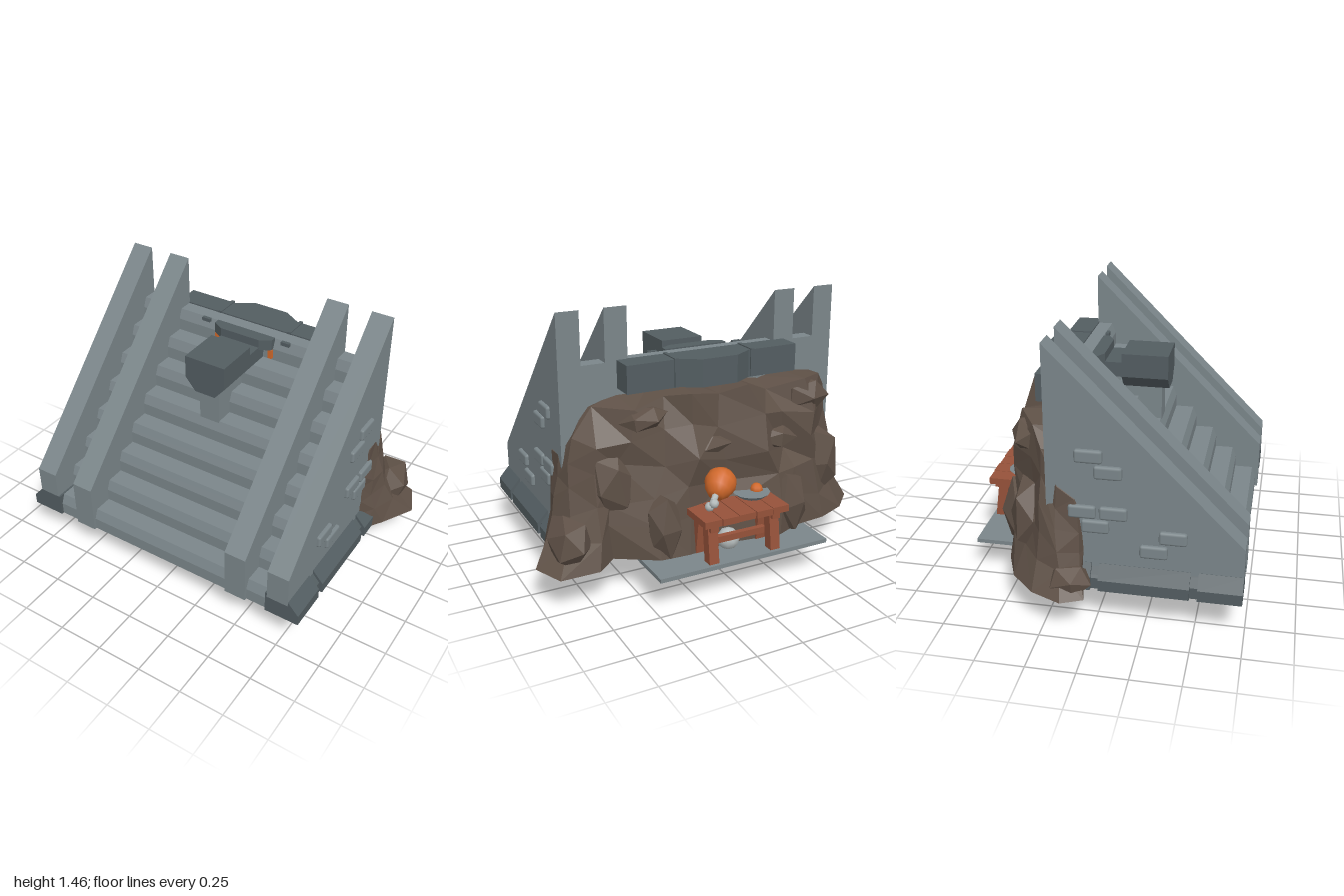
import * as THREE from 'three';
import { RoundedBoxGeometry } from 'three/addons/geometries/RoundedBoxGeometry.js';

const mat = (name, color, side = THREE.FrontSide) => {
  const m = new THREE.MeshStandardMaterial({ color, side });
  m.name = name;
  return m;
};

export function createModel() {
  const root = new THREE.Group();
  const stone = mat('stone', 0x7b868a), dark = mat('darkStone', 0x535d61);
  const rock = mat('rock', 0x5f5147, THREE.DoubleSide), wood = mat('wood', 0x96523a);
  const orange = mat('orange', 0xd0682a), bone = mat('bone', 0xb4bbbb), iron = mat('iron', 0x262626);

  const add = (name, geo, m, x = 0, y = 0, z = 0, parent = root) => {
    const mesh = new THREE.Mesh(geo, m);
    mesh.name = name;
    mesh.position.set(x, y, z);
    parent.add(mesh);
    return mesh;
  };
  const box = (name, m, w, h, d, x, y, z, parent) => add(name, new THREE.BoxGeometry(w, h, d), m, x, y, z, parent);
  const shape = pts => new THREE.Shape(pts.map(p => new THREE.Vector2(p[0], p[1])));
  const extrude = (pts, depth) => new THREE.ExtrudeGeometry(shape(pts), { depth, bevelEnabled: false });
  // (z, y) outline swept from x0 to x1
  const sweepX = (pts, x0, x1) => extrude(pts, x1 - x0).rotateY(-Math.PI / 2).translate(x1, 0, 0);
  // (x, z) outline swept from y0 to y1
  const sweepY = (pts, y0, y1) => extrude(pts, y1 - y0).rotateX(Math.PI / 2).translate(0, y1, 0);
  let seed = 7;
  const rnd = () => (seed = (seed * 16807) % 2147483647) / 2147483647;
  const jit = a => (rnd() - 0.5) * 2 * a;

  // Staircase shell: treads with bevelled nosings, stepped underside
  const steps = [], under = [];
  for (let i = 0; i < 8; i++) {
    const z = 0.72 - i * 0.123, y = 0.2 + i * 0.1225;
    steps.push([z, y], [z, y + 0.068], [z - 0.022, y + 0.1225]);
    under.unshift([z - 0.045, Math.max(0.2, y - 0.04)], [z - 0.045, y + 0.082]);
  }
  // the underside runs from the top step back down to the floor
  const inner = [];
  for (let i = under.length - 1; i > 0; i -= 2) inner.unshift(under[i], under[i - 1]);
  add('stairs', sweepX([...steps, [-0.245, 1.18], [-0.245, 1.139], ...inner], -0.7, 0.7), stone);
  box('stairBack', stone, 1.4, 0.95, 0.03, 0, 0.675, -0.23);

  // Sloping walls, side bricks and dark skirts, the same on both sides
  const skirt = (inset, s, z0, z1) =>
    extrude([[0.67, 0.2], [0.86 - inset, 0.2], [0.86 - inset, 0.26], [0.802 - inset / 2, 0.325 - inset / 2],
      [0.67, 0.325 - inset / 2]].map(([x, y]) => [s * x, y]), z1 - z0).translate(0, 0, z0);
  const bricks = [[-0.03, 0.91], [0.065, 0.83], [0.09, 0.612], [-0.065, 0.612], [0, 0.535], [0.385, 0.505], [0.29, 0.42]];
  for (const s of [1, -1]) {
    const side = new THREE.Group();
    side.name = s > 0 ? 'leftSide' : 'rightSide';
    root.add(side);
    for (const [x, w, yb] of [[0.74, 0.12, 0.3], [0.491, 0.122, 0.2]]) {
      const profile = [[0.735, yb], [0.735, 0.475], [-0.245, 1.457], [-0.245, yb]];
      add('slopingWall', sweepX(profile, -w / 2, w / 2), stone, s * x, 0, 0, side);
    }
    for (const [z, y] of bricks)
      add('wallBrick', new RoundedBoxGeometry(0.05, 0.07, 0.14, 1, 0.014), stone, s * 0.795, y, z, side);
    add('skirtCore', skirt(0.02, s, -0.22, 0.73), dark, 0, 0, 0, side);
    for (const [z0, z1] of [[-0.24, -0.02], [0.02, 0.475], [0.515, 0.735]])
      add('skirtBlock', skirt(0, s, z0, z1), dark, 0, 0, 0, side);
  }

  // Top beam, bracket with a lower neck, projecting head block and its stem
  add('topBeam', sweepY([[-0.49, -0.37], [-0.2, -0.37], [-0.1, -0.43], [0.1, -0.43], [0.2, -0.37], [0.49, -0.37],
    [0.49, -0.24], [-0.49, -0.24]], 1.04, 1.187), dark);
  for (const x of [-0.22, 0.22]) box('beamBand', dark, 0.02, 0.15, 0.14, x, 1.118, -0.308);
  for (const x of [-0.25, 0.25]) box('stepNotch', dark, 0.05, 0.02, 0.02, x, 1.174, -0.15);
  add('headBracket', sweepY([[-0.18, -0.16], [0.18, -0.16], [0.18, -0.125], [0.12, -0.09], [-0.12, -0.09],
    [-0.18, -0.125]], 1.125, 1.186), dark);
  box('headNeck', dark, 0.24, 0.08, 0.16, 0, 1.1, -0.07);
  add('headBlock', extrude([[-0.12, 1.188], [-0.12, 1.06], [-0.06, 0.99], [0.06, 0.99], [0.12, 1.06], [0.12, 1.188]], 0.25), dark);
  box('headStem', stone, 0.12, 0.24, 0.24, 0, 0.89, 0.09);
  for (const x of [-0.168, 0.168]) box('ember', orange, 0.024, 0.05, 0.02, x, 1.095, -0.134);

  // Craggy rock behind: each column is base x, base z, top x, top z, top y
  const columns = [
    [-0.82, -0.06, -0.79, -0.07, 0.66], [-0.95, -0.03, -0.8, -0.1, 0.68], [-1, -0.14, -0.8, -0.2, 0.73],
    [-0.93, -0.3, -0.75, -0.28, 0.9], [-0.8, -0.43, -0.66, -0.33, 0.98], [-0.63, -0.5, -0.48, -0.4, 1],
    [-0.44, -0.52, -0.34, -0.42, 0.98], [-0.3, -0.58, -0.15, -0.43, 1.01], [0, -0.54, 0, -0.44, 0.98],
    [0.24, -0.57, 0.15, -0.43, 1.03], [0.4, -0.56, 0.32, -0.4, 1], [0.61, -0.43, 0.5, -0.37, 1],
    [0.72, -0.53, 0.66, -0.32, 0.95], [0.93, -0.53, 0.76, -0.27, 0.84], [1, -0.36, 0.8, -0.2, 0.72],
    [0.9, -0.18, 0.8, -0.12, 0.71], [0.82, -0.06, 0.79, -0.07, 0.66]];
  const levels = 5;
  const grid = columns.map(([xb, zb, xt, zt, yt], i) => {
    const flank = Math.abs(xb) > 0.75, p = flank ? 0.42 : 1.6, col = [];
    for (let j = 0; j <= levels; j++) {
      const t = j / levels, s = t ** p, a = j ? (flank ? 0.012 : 0.035) : 0;
      const crag = flank || !j ? 0 : (i % 2 ? -0.015 : 0.02);
      col.push([xb + (xt - xb) * s + jit(a), 0.2 + (yt - 0.2) * t + jit(a), zb + (zt - zb) * s + crag + jit(a)]);
    }
    col.push([Math.max(-0.7, Math.min(0.7, xt)), yt + 0.01, Math.max(zt + 0.1, -0.22)]);
    return col;
  });
  const verts = [];
  for (let i = 0; i < grid.length - 1; i++)
    for (let j = 0; j <= levels; j++) {
      const a = grid[i][j], b = grid[i + 1][j], c = grid[i + 1][j + 1], d = grid[i][j + 1];
      if (rnd() > 0.5) verts.push(...a, ...d, ...c, ...a, ...c, ...b);
      else verts.push(...a, ...d, ...b, ...d, ...c, ...b);
    }
  const rockGeo = new THREE.BufferGeometry();
  rockGeo.setAttribute('position', new THREE.Float32BufferAttribute(verts, 3));
  rockGeo.computeVertexNormals();
  add('rockMass', rockGeo, rock);
  // Boulders and ledges: x, y, z, and three radii
  for (const [x, y, z, a, b, c] of [[-0.87, 0.26, -0.12, 0.1, 0.09, 0.12], [0.83, 0.33, -0.4, 0.11, 0.14, 0.15],
    [-0.55, 0.9, -0.38, 0.15, 0.1, 0.1], [0.42, 0.92, -0.4, 0.13, 0.06, 0.11], [-0.3, 0.72, -0.45, 0.16, 0.07, 0.09],
    [0.1, 0.74, -0.45, 0.17, 0.06, 0.08], [0.36, 0.36, -0.51, 0.1, 0.2, 0.1], [-0.38, 0.36, -0.51, 0.12, 0.2, 0.1],
    [0.58, 0.58, -0.38, 0.13, 0.2, 0.09], [-0.66, 0.5, -0.37, 0.14, 0.22, 0.1]]) {
    const m = add('boulder', new THREE.IcosahedronGeometry(1, 0).rotateY(rnd() * 3).scale(a, b, c), rock, x, y, z);
    m.rotation.z = jit(0.25);
  }

  // Floor slab with the grating underneath
  box('floorSlab', stone, 0.98, 0.022, 0.985, 0, 0.189, -0.2425);
  box('slabUnderside', dark, 0.9, 0.004, 0.9, 0, 0.177, -0.2425);
  for (const x of [-0.28, 0.28]) for (const z of [0.08, -0.55]) box('floorPatch', wood, 0.1, 0.004, 0.07, x, 0.174, z);
  for (let i = 0; i < 6; i++) {
    box('grateBar', iron, 0.89, 0.022, 0.026, 0, 0.166, -0.045 - i * 0.08);
    box('grateCrossBar', iron, 0.026, 0.018, 0.426, -0.36 + i * 0.144, 0.168, -0.245);
  }
  for (const x of [-0.175, 0.175]) box('grateBlock', wood, 0.05, 0.04, 0.05, x, 0.14, -0.215);

  // Hanging shield with pale leaf blades
  const shield = k => [[-0.13, 0.155], [-0.115, 0.08], [-0.06, 0.025], [0, 0], [0.06, 0.025], [0.115, 0.08], [0.13, 0.155]]
    .map(([x, y]) => [x * k, 0.155 - (0.155 - y) * k]);
  add('shieldRim', extrude(shield(1), 0.03), dark, 0, 0, -0.225);
  add('shieldFace', extrude(shield(0.8), 0.042), wood, 0, 0, -0.231);
  for (const z of [-0.234, -0.186]) for (const s of [1, -1]) {
    const rib = box('shieldRib', dark, 0.016, 0.135, 0.008, s * 0.035, 0.085, z);
    rib.rotation.z = -s * 0.45;
  }
  for (const s of [1, -1]) {
    const leaf = [[0.06, 0.13], [0.07, 0.07], [0.1, 0.035], [0.165, 0.025], [0.145, 0.065], [0.12, 0.1]];
    add('blade', extrude(leaf.map(([x, y]) => [s * x, y]), 0.014), bone, 0, 0, -0.25);
    const spike = add('spike', new THREE.ConeGeometry(0.022, 0.11, 4), bone, s * 0.055, 0.085, -0.245);
    spike.rotation.z = Math.PI + s * 0.4;
  }

  // Plank table
  const table = new THREE.Group();
  table.name = 'table';
  root.add(table);
  for (let i = 0; i < 5; i++)
    box('tablePlank', wood, 0.094, 0.036, 0.23 + (i % 2) * 0.008, -0.196 + i * 0.098, 0.43, -0.618, table);
  for (const s of [1, -1]) {
    for (const f of [1, -1]) {
      const leg = box('tableLeg', wood, 0.055, 0.22, 0.055, s * 0.18, 0.306, -0.615 - f * 0.06, table);
      leg.rotation.x = f * 0.13;
    }
    box('tableRail', wood, 0.045, 0.04, 0.2, s * 0.18, 0.395, -0.615, table);
  }
  box('tableStretcher', wood, 0.34, 0.035, 0.03, 0, 0.28, -0.615, table);

  // Roast leg with bone, and a dish
  const roast = new THREE.Group();
  roast.name = 'roastLeg';
  roast.position.set(0.07, 0.56, -0.565);
  roast.quaternion.setFromUnitVectors(new THREE.Vector3(0, 1, 0), new THREE.Vector3(0.62, -0.4, -0.58).normalize());
  root.add(roast);
  const meat = [[0, -0.085], [0.05, -0.073], [0.078, -0.04], [0.083, 0], [0.066, 0.045], [0.04, 0.08], [0, 0.085]];
  add('meat', new THREE.LatheGeometry(meat.map(p => new THREE.Vector2(...p)), 16), orange, 0, 0, 0, roast);
  add('boneShaft', new THREE.CylinderGeometry(0.016, 0.018, 0.08, 8), bone, 0, 0.105, 0, roast);
  for (const x of [-0.02, 0.02]) add('boneKnob', new THREE.SphereGeometry(0.025, 8, 6), bone, x, 0.145, 0, roast);
  add('dish', new THREE.CylinderGeometry(0.1, 0.07, 0.025, 12), stone, -0.13, 0.461, -0.545);
  add('dishFood', new THREE.SphereGeometry(0.035, 8, 6), orange, -0.165, 0.475, -0.54);
  add('sack', new THREE.IcosahedronGeometry(0.06, 1), bone, 0.02, 0.245, -0.57);
  return root;
}
